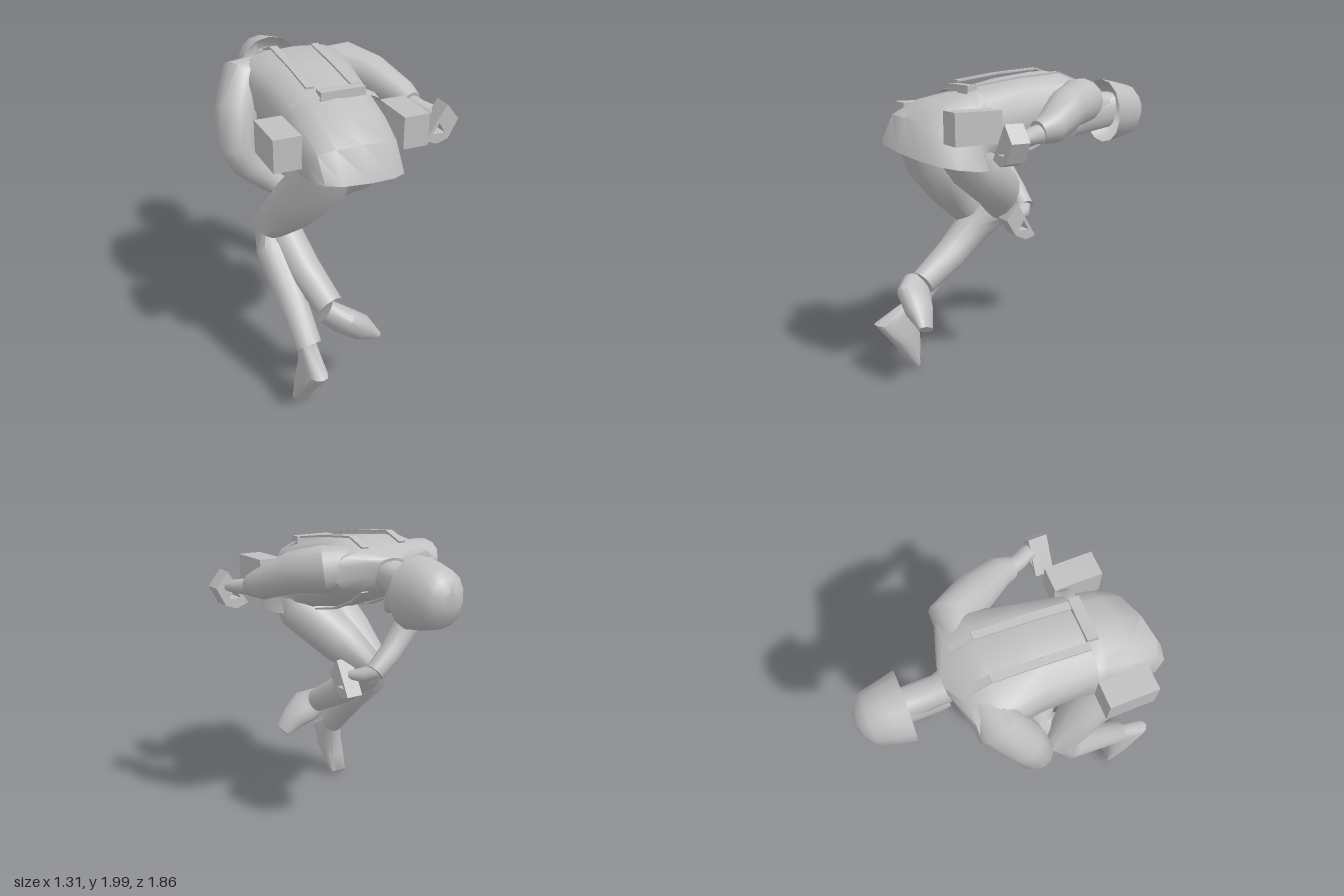
import * as THREE from 'three';
import { toCreasedNormals } from 'three/addons/utils/BufferGeometryUtils.js';

const grey = new THREE.MeshStandardMaterial({ color: 0xbfbfbf, side: THREE.DoubleSide });
grey.name = 'plain grey';
const N = 14;

// Signed power, used to square off a ring
const pw = (v, p) => Math.sign(v) * Math.pow(Math.abs(v), p);

// Skin over a list of rings (each N points), facing outwards, with optional end caps
function loft(rings, capStart = true, capEnd = true) {
  const pos = [], idx = [];
  rings.forEach(r => r.forEach(p => pos.push(p.x, p.y, p.z)));
  for (let i = 0; i < rings.length - 1; i++)
    for (let j = 0; j < N; j++) {
      const a = i * N + j, b = i * N + (j + 1) % N;
      idx.push(a, b, b + N, a, b + N, a + N);
    }
  const last = (rings.length - 1) * N;
  for (let j = 1; j < N - 1; j++) {
    if (capStart) idx.push(0, j + 1, j);
    if (capEnd) idx.push(last, last + j, last + j + 1);
  }
  // Flip the faces when the signed volume about the middle ring is negative
  const mid = rings[rings.length >> 1].reduce((s, p) => s.addScaledVector(p, 1 / N), new THREE.Vector3());
  const P = i => new THREE.Vector3(pos[3 * i], pos[3 * i + 1], pos[3 * i + 2]).sub(mid);
  let vol = 0;
  for (let i = 0; i < idx.length; i += 3)
    vol += P(idx[i]).dot(P(idx[i + 1]).cross(P(idx[i + 2])));
  if (vol < 0) idx.reverse();
  const g = new THREE.BufferGeometry();
  g.setAttribute('position', new THREE.Float32BufferAttribute(pos, 3));
  g.setIndex(idx);
  return toCreasedNormals(g, 0.8);
}

// Ring from its upper and lower points in z, y and its x limits, with optional skew
function band([z1, y1, z2, y2, xa, xb, skewZ = 0, skewY = 0], p = 0.8) {
  return Array.from({ length: N }, (_, j) => {
    const a = j / N * Math.PI * 2;
    const c = pw(Math.cos(a), p), dx = (xb - xa) / 2 * pw(Math.sin(a), p);
    return new THREE.Vector3((xa + xb) / 2 + dx,
      (y1 + y2) / 2 + (y1 - y2) / 2 * c - skewY * dx,
      (z1 + z2) / 2 + (z1 - z2) / 2 * c - skewZ * dx);
  });
}

// Limb rings across a path of [x, y, z, radius, second radius], carried along without twist
function limbRings(path) {
  const pts = path.map(p => new THREE.Vector3(p[0], p[1], p[2]));
  let b = null;
  return path.map((p, i) => {
    const t = pts[Math.min(i + 1, pts.length - 1)].clone().sub(pts[Math.max(i - 1, 0)]).normalize();
    b = b ? b.clone().addScaledVector(t, -b.dot(t)) : t.clone().cross(new THREE.Vector3(1, 0, 0));
    b.normalize();
    const a = b.clone().cross(t);
    return Array.from({ length: N }, (_, j) => {
      const w = j / N * Math.PI * 2;
      return pts[i].clone().addScaledVector(a, p[3] * Math.cos(w))
        .addScaledVector(b, (p[4] ?? p[3]) * Math.sin(w));
    });
  });
}

// Torso stations, neck to open jacket hem
const TORSO = [
  [-0.42, 1.87, -0.38, 1.72, -0.22, 0.0],
  [-0.34, 1.92, -0.33, 1.67, -0.49, 0.24],
  [-0.19, 1.98, -0.2, 1.59, -0.49, 0.24],
  [0.1, 1.95, 0.0, 1.51, -0.43, 0.2],
  [0.42, 1.88, 0.2, 1.47, -0.41, 0.17],
  [0.62, 1.83, 0.3, 1.45, -0.43, 0.17, 0.08, 0.04],
  [0.78, 1.73, 0.34, 1.45, -0.43, 0.19, 0.2, 0.1],
  [0.84, 1.53, 0.38, 1.46, -0.42, 0.23, 0.26, 0.18],
];

export function createModel() {
  const model = new THREE.Group();
  model.name = 'crouchingFigure';
  const add = (name, geo) => {
    const m = new THREE.Mesh(geo, grey);
    m.name = name;
    model.add(m);
    return m;
  };
  const limb = (name, path) => add(name, loft(limbRings(path)));
  const bands = (name, list, p, capStart, capEnd) =>
    add(name, loft(list.map(s => band(s, p)), capStart, capEnd));
  const box = (name, x, y, z, w, h, d) => {
    const m = add(name, new THREE.BoxGeometry(w, h, d));
    m.position.set(x, y, z);
    return m;
  };

  bands('jacket', TORSO, 0.75, true, false);
  bands('belt', [
    [0.385, 1.905, 0.385, 1.52, -0.425, 0.185],
    [0.45, 1.89, 0.45, 1.52, -0.43, 0.185],
  ], 0.75, false, false);

  // Straps over the back and down the chest
  const strap = (name, x, line) => {
    for (let i = 0; i < line.length - 1; i++) {
      const [z1, y1] = line[i], [z2, y2] = line[i + 1];
      const m = box(name, x, (y1 + y2) / 2, (z1 + z2) / 2, 0.048, 0.012,
        Math.hypot(z2 - z1, y2 - y1));
      m.rotation.x = -Math.atan2(y2 - y1, z2 - z1);
    }
  };
  for (const [x, lift] of [[-0.255, 0.01], [0.012, -0.005]]) {
    strap('backStrap', x, [[-0.32, 1.93], [-0.19, 1.98], [0.1, 1.955], [0.38, 1.915]]
      .map(([z, y]) => [z, y + lift]));
    strap('chestStrap', x, [[-0.32, 1.67], [-0.2, 1.59], [0, 1.51], [0.2, 1.47]]);
  }
  box('beltBuckle', -0.085, 1.89, 0.417, 0.27, 0.05, 0.065);

  // Hip pouches
  box('rightPouch', -0.5, 1.695, 0.52, 0.16, 0.19, 0.295);
  box('leftPouch', 0.257, 1.695, 0.52, 0.155, 0.19, 0.295);

  // Neck, face and open helmet
  bands('neck', [
    [-0.34, 1.88, -0.34, 1.7, -0.22, 0.0],
    [-0.46, 1.84, -0.44, 1.66, -0.205, -0.035],
    [-0.68, 1.83, -0.68, 1.62, -0.21, -0.03],
  ]);
  bands('face', [
    [-0.42, 1.7, -0.4, 1.54, -0.18, -0.06],
    [-0.47, 1.78, -0.45, 1.55, -0.2, -0.04],
    [-0.7, 1.83, -0.68, 1.59, -0.22, -0.02],
  ]);
  bands('helmet', [
    [-0.635, 1.915, -0.655, 1.49, -0.325, 0.085],
    [-0.74, 1.895, -0.75, 1.51, -0.305, 0.06],
    [-0.85, 1.87, -0.86, 1.54, -0.275, 0.035],
    [-0.9, 1.82, -0.905, 1.6, -0.23, -0.01],
    [-0.93, 1.76, -0.932, 1.66, -0.17, -0.07],
  ], 0.95, false, true);

  // Left arm swung back, right arm bent under the chest
  limb('leftArm', [
    [0.06, 1.82, -0.24, 0.11], [0.235, 1.81, -0.225, 0.14], [0.34, 1.78, -0.06, 0.125],
    [0.46, 1.69, 0.13, 0.095], [0.475, 1.67, 0.22, 0.07],
  ]);
  limb('leftHand', [
    [0.46, 1.67, 0.16, 0.06], [0.5, 1.655, 0.28, 0.05],
    [0.54, 1.65, 0.35, 0.05, 0.04], [0.56, 1.64, 0.42, 0.04, 0.025],
  ]);
  limb('rightArm', [
    [-0.28, 1.83, -0.25, 0.11], [-0.45, 1.81, -0.22, 0.14], [-0.53, 1.66, -0.12, 0.13],
    [-0.56, 1.45, -0.05, 0.11], [-0.5, 1.32, -0.05, 0.09],
    [-0.36, 1.18, -0.09, 0.075], [-0.23, 1.07, -0.1, 0.065],
  ]);
  limb('rightHand', [
    [-0.25, 1.08, -0.1, 0.05], [-0.18, 1.05, -0.05, 0.05], [-0.11, 1.04, 0.02, 0.03],
  ]);

  // Legs
  limb('rightLeg', [
    [-0.25, 1.62, 0.63, 0.14, 0.16], [-0.27, 1.45, 0.56, 0.16, 0.17],
    [-0.36, 1.23, 0.38, 0.15], [-0.45, 1.01, 0.19, 0.1, 0.11],
    [-0.46, 0.88, 0.25, 0.1], [-0.43, 0.65, 0.49, 0.09], [-0.4, 0.43, 0.68, 0.08],
  ]);
  limb('leftLeg', [
    [0.03, 1.58, 0.52, 0.15], [0.02, 1.43, 0.4, 0.16],
    [-0.13, 1.24, 0.16, 0.15], [-0.28, 1.08, 0.075, 0.11],
    [-0.37, 0.96, 0.2, 0.115], [-0.32, 0.79, 0.42, 0.105], [-0.25, 0.65, 0.65, 0.085],
  ]);

  // Boots
  bands('rightBoot', [
    [0.75, 0.46, 0.61, 0.44, -0.46, -0.36],
    [0.93, 0.36, 0.62, 0.32, -0.48, -0.35],
    [0.82, 0.22, 0.62, 0.17, -0.5, -0.335],
    [0.66, 0.005, 0.625, 0.045, -0.495, -0.375],
  ]);
  limb('leftBoot', [
    [-0.29, 0.65, 0.68, 0.07, 0.09], [-0.2, 0.59, 0.73, 0.08, 0.13],
    [-0.1, 0.52, 0.74, 0.08, 0.1], [0.0, 0.43, 0.74, 0.03, 0.06],
  ]);

  // Hand guards with a triangular hole
  const guard = (name, outline, hole, depth) => {
    const s = new THREE.Shape(outline.map(p => new THREE.Vector2(...p)));
    s.holes.push(new THREE.Path(hole.map(p => new THREE.Vector2(...p))));
    return add(name, new THREE.ExtrudeGeometry(s, { depth, bevelEnabled: false }));
  };
  guard('leftHandGuard',
    [[0.43, 1.53], [0.51, 1.5], [0.585, 1.525], [0.645, 1.64], [0.565, 1.74]],
    [[0.48, 1.565], [0.56, 1.565], [0.52, 1.63]], 0.115).position.z = 0.37;
  const right = guard('rightHandGuard',
    [[-0.07, 0.92], [0, 0.9], [0.075, 0.935], [0.14, 1.04], [0.06, 1.145]],
    [[-0.02, 0.965], [0.055, 0.965], [0.015, 1.03]], 0.115);
  right.rotation.y = -Math.PI / 2;
  right.position.x = -0.04;

  return model;
}
